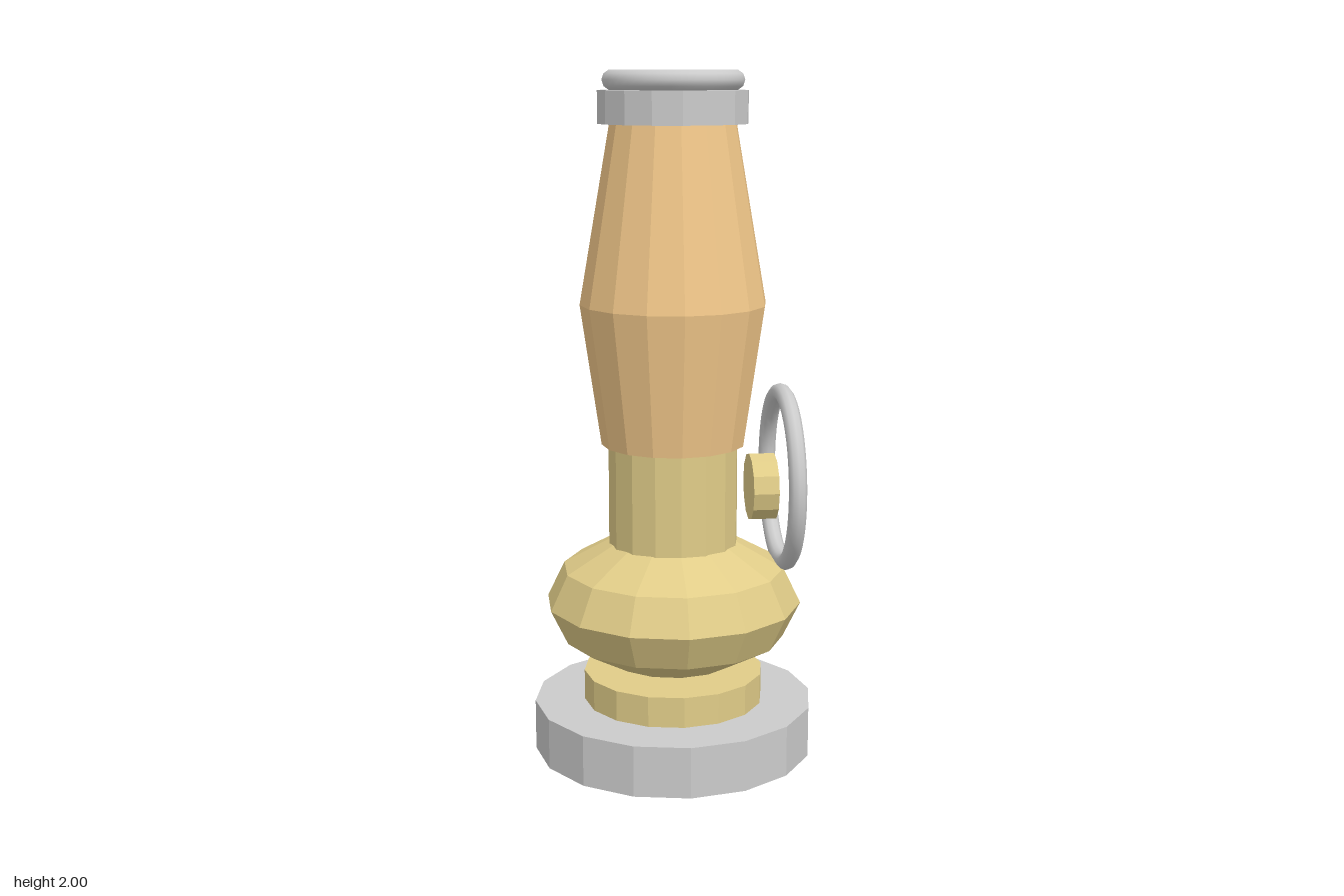
import * as THREE from 'three';

const mat = (color, flatShading = true) => new THREE.MeshStandardMaterial({ color, flatShading });

export function createModel() {
  const model = new THREE.Group();
  const metal = mat(0xcccccc);
  const smoothMetal = mat(0xcccccc, false);
  const brass = mat(0xe0cc88);
  const wood = mat(0xf2c88a);

  const add = (name, geometry, material, x = 0, y = 0) => {
    const mesh = new THREE.Mesh(geometry, material);
    mesh.name = name;
    mesh.position.set(x, y, 0);
    model.add(mesh);
    return mesh;
  };

  // Faceted disc or drum standing between two heights
  const drum = (name, y0, y1, r, material, sides = 16) =>
    add(name, new THREE.CylinderGeometry(r, r, y1 - y0, sides), material, 0, (y0 + y1) / 2);

  // Foot and lower body
  drum('base', 0, 0.15, 0.415, metal);
  drum('lowerCollar', 0.15, 0.24, 0.267, brass);

  // Squashed faceted bulb, six bands from pole to pole
  const bulb = [];
  for (let i = 0; i <= 6; i++) {
    const a = -Math.PI / 2 + (i * Math.PI) / 6;
    bulb.push(new THREE.Vector2(Math.max(0, 0.378 * Math.cos(a)), 0.209 * Math.sin(a)));
  }
  add('bulb', new THREE.LatheGeometry(bulb, 14), brass, 0, 0.453);

  drum('neck', 0.6, 0.95, 0.19, brass);

  // Swelling grip, closed at both ends
  const grip = [[0, 0.93], [0.21, 0.93], [0.27, 1.34], [0.18, 1.86], [0, 1.86]];
  add('grip', new THREE.LatheGeometry(grip.map(([r, y]) => new THREE.Vector2(r, y)), 16), wood);

  // Cap with its rim ring
  drum('cap', 1.85, 1.943, 0.215, metal);
  add('rimRing', new THREE.TorusGeometry(0.173, 0.029, 10, 40), smoothMetal, 0, 1.971)
    .rotation.x = Math.PI / 2;

  // Side knob and the hand ring around it
  add('knob', new THREE.CylinderGeometry(0.1, 0.1, 0.075, 12), brass, 0.263, 0.79)
    .rotation.z = -Math.PI / 2;
  add('handRing', new THREE.TorusGeometry(0.251, 0.026, 10, 48), smoothMetal, 0.324, 0.818)
    .rotation.y = Math.PI / 2;

  return model;
}
